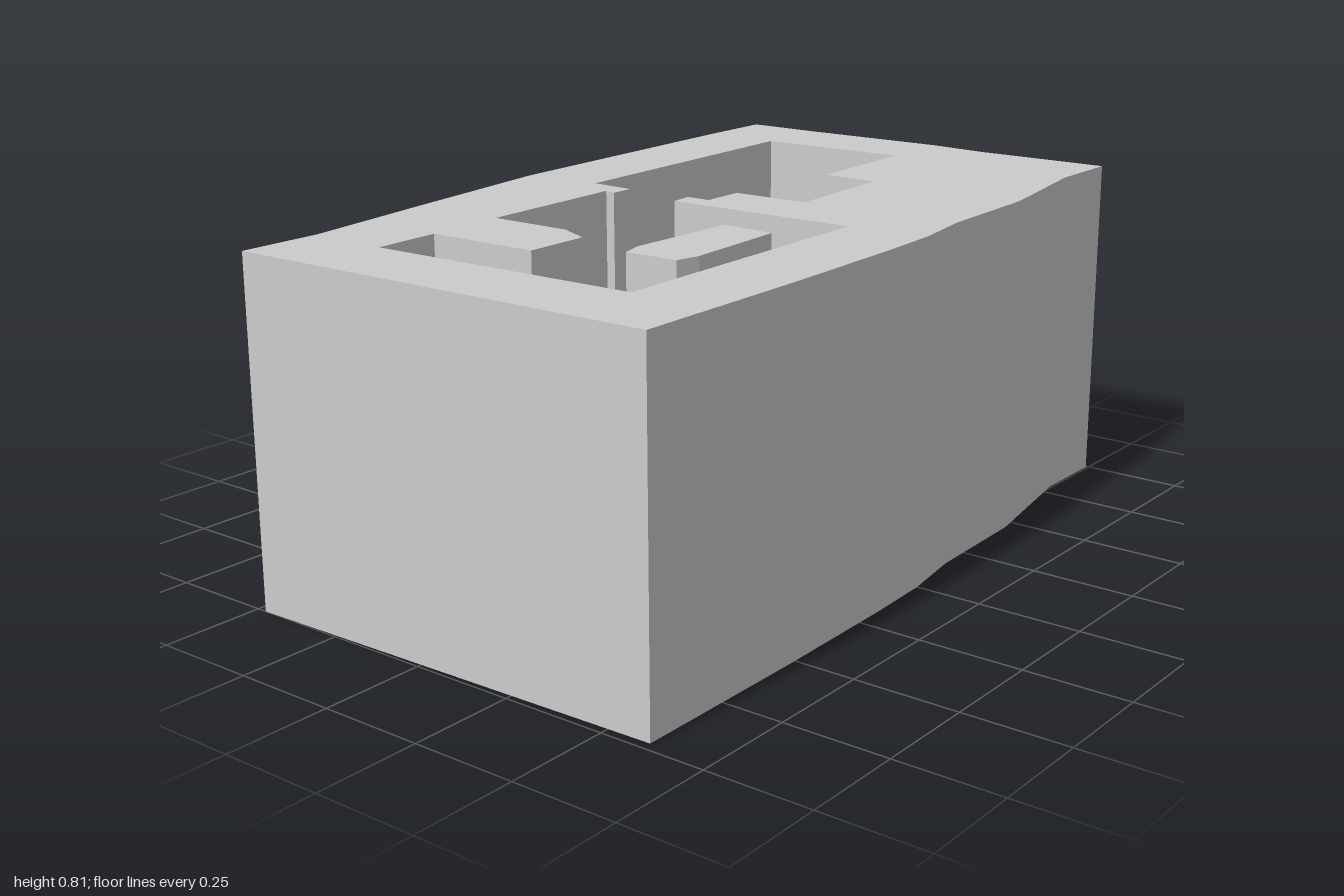
import * as THREE from 'three';

const HEIGHT = 0.815, FLOOR = 0.005;

// Plan outlines as [x, z] corners
const outer = [
  [-1, -0.475], [-0.79, -0.475], [-0.43, -0.525], [0, -0.58], [0.78, -0.604], [0.988, -0.604],
  [0.988, -0.4], [1, -0.01], [0.988, 0.14], [0.994, 0.495],
  [0.795, 0.495], [0.463, 0.553], [0.165, 0.563], [0, 0.588], [-0.17, 0.596], [-0.51, 0.603], [-0.977, 0.604],
];
const rooms = [
  [-0.8, -0.273], [-0.633, -0.278], [-0.626, 0.002], [-0.463, 0.002], [-0.426, -0.08], [-0.428, -0.288],
  [-0.035, -0.297], [-0.042, -0.267], [0.018, -0.267], [0.023, -0.382], [0.785, -0.403], [0.8, -0.008],
  [0.462, 0.003], [0.462, 0.145], [0.143, 0.162], [0.138, -0.033], [0.028, -0.033], [0.027, -0.095],
  [-0.03, -0.09], [-0.018, 0.393], [-0.778, 0.402],
];
const island = [
  [-0.515, 0.168], [-0.458, 0.153], [-0.172, 0.165], [-0.178, 0.3], [-0.452, 0.313], [-0.51, 0.3],
];

// Counter-clockwise points in the extrusion plane
const toPoints = (plan) => plan.map(([x, z]) => new THREE.Vector2(x, -z)).reverse();

// Raises a plan outline into an upright prism between two heights
function prism(name, plan, bottom, top, holes = []) {
  const shape = new THREE.Shape(toPoints(plan));
  for (const hole of holes) shape.holes.push(new THREE.Path(toPoints(hole)));
  const geometry = new THREE.ExtrudeGeometry(shape, { depth: top - bottom, bevelEnabled: false });
  geometry.rotateX(-Math.PI / 2).translate(0, bottom, 0);
  const mesh = new THREE.Mesh(geometry, new THREE.MeshStandardMaterial({ color: 0xcccccc, flatShading: true }));
  mesh.name = name;
  return mesh;
}

export function createModel() {
  const model = new THREE.Group();
  model.name = 'floorPlanBlock';
  model.add(
    prism('floor', outer, 0, FLOOR),
    prism('walls', outer, FLOOR, HEIGHT, [rooms]),
    prism('islandPillar', island, FLOOR, HEIGHT),
  );
  return model;
}
